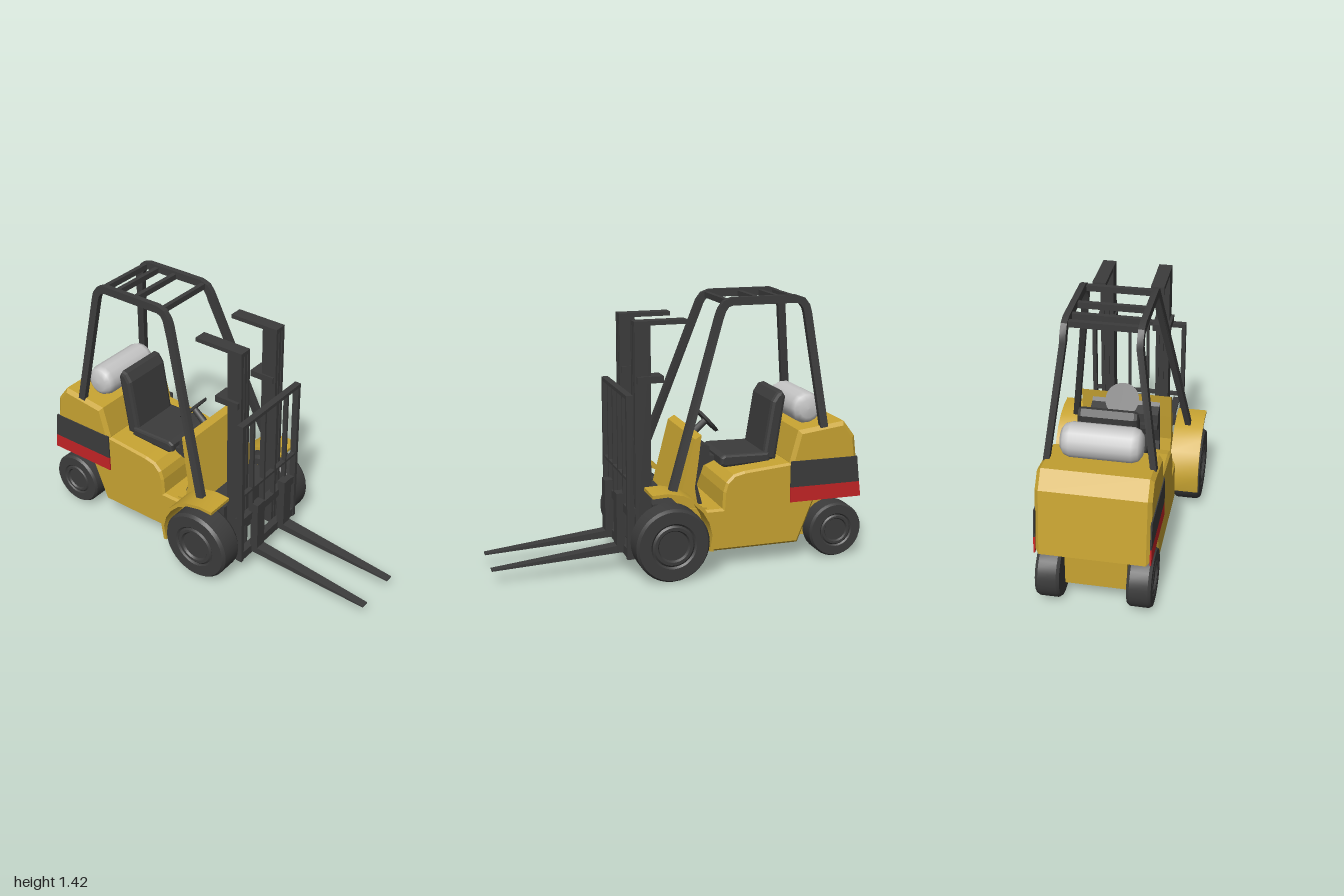
import * as THREE from 'three';
import { toCreasedNormals } from 'three/addons/utils/BufferGeometryUtils.js';

const paint = (name, color) => {
  const m = new THREE.MeshStandardMaterial({ color });
  m.name = name;
  return m;
};

export function createModel() {
  const root = new THREE.Group();
  root.name = 'forklift';
  const yellow = paint('yellow paint', 0xc8a432);
  const dark = paint('dark grey', 0x3c3c3c);
  const red = paint('red stripe', 0xc42426);
  const grey = paint('light grey tank', 0xc6c6c6);

  const add = (name, geo, mat) => {
    const m = new THREE.Mesh(geo, mat);
    m.name = name;
    root.add(m);
    return m;
  };
  const box = (name, mat, x0, x1, y0, y1, z0, z1) =>
    add(name, new THREE.BoxGeometry(x1 - x0, y1 - y0, z1 - z0), mat)
      .position.set((x0 + x1) / 2, (y0 + y1) / 2, (z0 + z1) / 2);
  // Side outline given as [z, y] points, extruded across x
  const sideGeo = (pts, width, x = 0, bevel = 0, segments = 1) => {
    const shape = new THREE.Shape(pts.map(p => new THREE.Vector2(p[0], p[1])));
    const geo = new THREE.ExtrudeGeometry(shape, {
      depth: width - 2 * bevel, bevelEnabled: bevel > 0, bevelSize: bevel,
      bevelThickness: bevel, bevelOffset: -bevel, bevelSegments: segments,
    });
    return geo.translate(0, 0, bevel - width / 2).rotateY(-Math.PI / 2).translate(x, 0, 0);
  };
  const side = (name, mat, pts, ...rest) => add(name, sideGeo(pts, ...rest), mat);
  // Band of even thickness around a [z, y] centre line
  const band = (line, t) => {
    const outer = [], inner = [];
    line.forEach((p, i) => {
      const a = line[Math.max(i - 1, 0)], b = line[Math.min(i + 1, line.length - 1)];
      const l = Math.hypot(b[0] - a[0], b[1] - a[1]);
      const nx = -(b[1] - a[1]) / l * t / 2, ny = (b[0] - a[0]) / l * t / 2;
      outer.push([p[0] + nx, p[1] + ny]);
      inner.unshift([p[0] - nx, p[1] - ny]);
    });
    return outer.concat(inner);
  };

  // Chassis, seat hump and counterweight
  side('chassis', yellow, [[-0.09, 0.1], [-0.09, 0.33], [-0.2, 0.33], [-0.205, 0.42], [-0.22, 0.47],
    [-0.26, 0.51], [-0.32, 0.525], [-0.6, 0.55], [-0.72, 0.55], [-0.72, 0.33], [-0.63, 0.1]], 0.54, 0, 0.012);
  box('frontChassis', yellow, -0.245, 0.245, 0.1, 0.34, -0.12, 0.06);
  box('rearAxleHousing', yellow, -0.155, 0.155, 0.1, 0.36, -0.9, -0.6);
  side('counterweight', yellow, [[-0.575, 0.33], [-0.575, 0.55], [-0.62, 0.722], [-0.88, 0.755],
    [-0.945, 0.67], [-0.987, 0.33]], 0.56, 0, 0.02);
  side('cowl', yellow, [[0.06, 0.3], [0.035, 0.36], [-0.055, 0.71], [-0.09, 0.73], [-0.075, 0.6],
    [-0.055, 0.45], [-0.08, 0.3]], 0.475);
  side('dashboard', dark, [[-0.05, 0.34], [-0.06, 0.45], [-0.075, 0.7], [-0.1, 0.67], [-0.155, 0.65], [-0.155, 0.6],
    [-0.18, 0.6], [-0.18, 0.575], [-0.12, 0.55], [-0.085, 0.45], [-0.115, 0.34]], 0.36);

  // Seat
  side('seatCushion', dark, [[-0.225, 0.535], [-0.225, 0.575], [-0.25, 0.59], [-0.5, 0.585], [-0.51, 0.53],
    [-0.25, 0.52]], 0.32, 0, 0.014, 2);
  side('seatBack', dark, [[-0.465, 0.535], [-0.515, 0.86], [-0.545, 0.905], [-0.575, 0.912], [-0.595, 0.88],
    [-0.545, 0.535]], 0.3, 0, 0.02, 2);

  // Steering wheel and column, tilted toward the seat
  const steer = new THREE.Group();
  steer.name = 'steering';
  const disc = new THREE.Mesh(new THREE.CylinderGeometry(0.088, 0.082, 0.014, 24), dark);
  disc.name = 'steeringWheel';
  const column = new THREE.Mesh(new THREE.CylinderGeometry(0.018, 0.022, 0.14, 10), dark);
  column.name = 'steeringColumn';
  column.position.y = -0.065;
  steer.add(disc, column);
  steer.position.set(0, 0.75, -0.195);
  steer.rotation.x = -0.85;
  root.add(steer);

  // Gas tank with rounded ends
  const tankLine = [[0, -0.2], [0.05, -0.197], [0.075, -0.18], [0.086, -0.15],
    [0.086, 0.15], [0.075, 0.18], [0.05, 0.197], [0, 0.2]].map(p => new THREE.Vector2(...p));
  add('gasTank', new THREE.LatheGeometry(tankLine, 14).rotateZ(Math.PI / 2), grey).position.set(0, 0.817, -0.705);

  // Wheels: tyre with rounded shoulders, raised rim ring and hub
  const wheel = (name, r, w, x, y, z, s) => {
    const line = [[0, -w / 2], [r * 0.93, -w / 2], [r, -w * 0.38], [r, w * 0.38], [r * 0.94, w * 0.5],
      [r * 0.62, w * 0.5], [r * 0.57, w * 0.44], [r * 0.52, w * 0.5], [r * 0.44, w * 0.5],
      [r * 0.4, w * 0.42], [0, w * 0.42]].map(p => new THREE.Vector2(...p));
    const geo = toCreasedNormals(new THREE.LatheGeometry(line, 32), 0.5);
    geo.rotateZ(-s * Math.PI / 2);
    add(name, geo, dark).position.set(s * x, y, z);
  };

  // Guard centre line, legs splaying outward below the roof
  const guardLine = [[0.09, 0.47], [-0.2, 1.33], [-0.213, 1.365], [-0.235, 1.395], [-0.27, 1.407],
    [-0.62, 1.407], [-0.655, 1.395], [-0.678, 1.365], [-0.688, 1.33], [-0.765, 0.73]].reverse();
  const fenderLine = [[-0.095, 0.15], [-0.108, 0.24], [-0.09, 0.31], [-0.055, 0.37], [-0.005, 0.42],
    [0.06, 0.455], [0.14, 0.473], [0.22, 0.47]];

  for (const s of [-1, 1]) {
    const tag = s > 0 ? 'left' : 'right';
    const pair = (name, mat, a, b, ...rest) =>
      box(tag + name, mat, Math.min(s * a, s * b), Math.max(s * a, s * b), ...rest);

    wheel(tag + 'FrontWheel', 0.196, 0.145, 0.327, 0.2, 0.107, s);
    wheel(tag + 'RearWheel', 0.15, 0.12, 0.225, 0.153, -0.847, s);
    add(tag + 'Fender', toCreasedNormals(sideGeo(band(fenderLine, 0.018), 0.155, s * 0.318), 0.6), yellow);

    // Side stripes
    side(tag + 'DarkPanel', dark, [[-0.575, 0.418], [-0.575, 0.56], [-0.957, 0.56], [-0.974, 0.418]], 0.008, s * 0.281);
    side(tag + 'RedStripe', red, [[-0.575, 0.335], [-0.575, 0.418], [-0.974, 0.418], [-0.985, 0.335]], 0.008, s * 0.281);

    // Overhead guard side frame
    const guard = sideGeo(band(guardLine, 0.042), 0.03, s * 0.178);
    const pos = guard.attributes.position;
    for (let i = 0; i < pos.count; i++) {
      const drop = Math.max(0, 1.33 - pos.getY(i));
      pos.setX(i, pos.getX(i) + s * drop * (pos.getZ(i) > -0.45 ? 0.155 : 0.135));
    }
    add(tag + 'GuardFrame', toCreasedNormals(guard, 0.5), dark);

    // Mast: three rails, backing web, chain arm and bracket
    [0.175, 0.148, 0.123].forEach(x => pair('MastRail', dark, x - 0.009, x + 0.009, 0.1, 1.325, 0.165, 0.25));
    pair('MastWeb', dark, 0.115, 0.184, 0.1, 1.3, 0.17, 0.2);
    pair('MastTopArm', dark, 0.115, 0.184, 1.303, 1.325, -0.03, 0.25);
    pair('MastBracket', dark, 0.105, 0.2, 1.01, 1.045, 0.1, 0.24);

    // Load backrest posts
    pair('BackrestPost', dark, 0.237, 0.258, 0.1, 0.965, 0.28, 0.315);
    [0.05, 0.15].forEach(x => pair('BackrestBar', dark, x - 0.007, x + 0.007, 0.36, 0.955, 0.285, 0.31));

    // Fork: upright shank and tine narrowing toward the tip
    pair('ForkShank', dark, 0.092, 0.157, 0.107, 0.43, 0.3, 0.345);
    const tine = sideGeo([[0.32, 0.107], [0.32, 0.145], [0.345, 0.145], [1, 0.08], [1, 0.073]], 0.065);
    const tp = tine.attributes.position;
    for (let i = 0; i < tp.count; i++) tp.setX(i, tp.getX(i) * (1 - 0.35 * (tp.getZ(i) - 0.32) / 0.68));
    tine.computeVertexNormals();
    add(tag + 'ForkTine', tine.translate(s * 0.124, 0, 0), dark);
  }

  // Guard roof bars
  for (const z of [-0.25, -0.44, -0.56, -0.64]) box('guardRoofBar', dark, -0.17, 0.17, 1.385, 1.415, z - 0.012, z + 0.012);

  // Mast cross member, carriage and backrest rails
  box('mastCrossMember', dark, -0.21, 0.21, 0.1, 0.37, 0.04, 0.165);
  box('carriageUpperBar', dark, -0.255, 0.255, 0.33, 0.375, 0.27, 0.31);
  box('carriageLowerBar', dark, -0.255, 0.255, 0.1, 0.15, 0.27, 0.31);
  box('backrestTopRail', dark, -0.258, 0.258, 0.947, 0.967, 0.28, 0.315);
  box('backrestMiddleRail', dark, -0.25, 0.25, 0.518, 0.532, 0.285, 0.31);

  return root;
}
